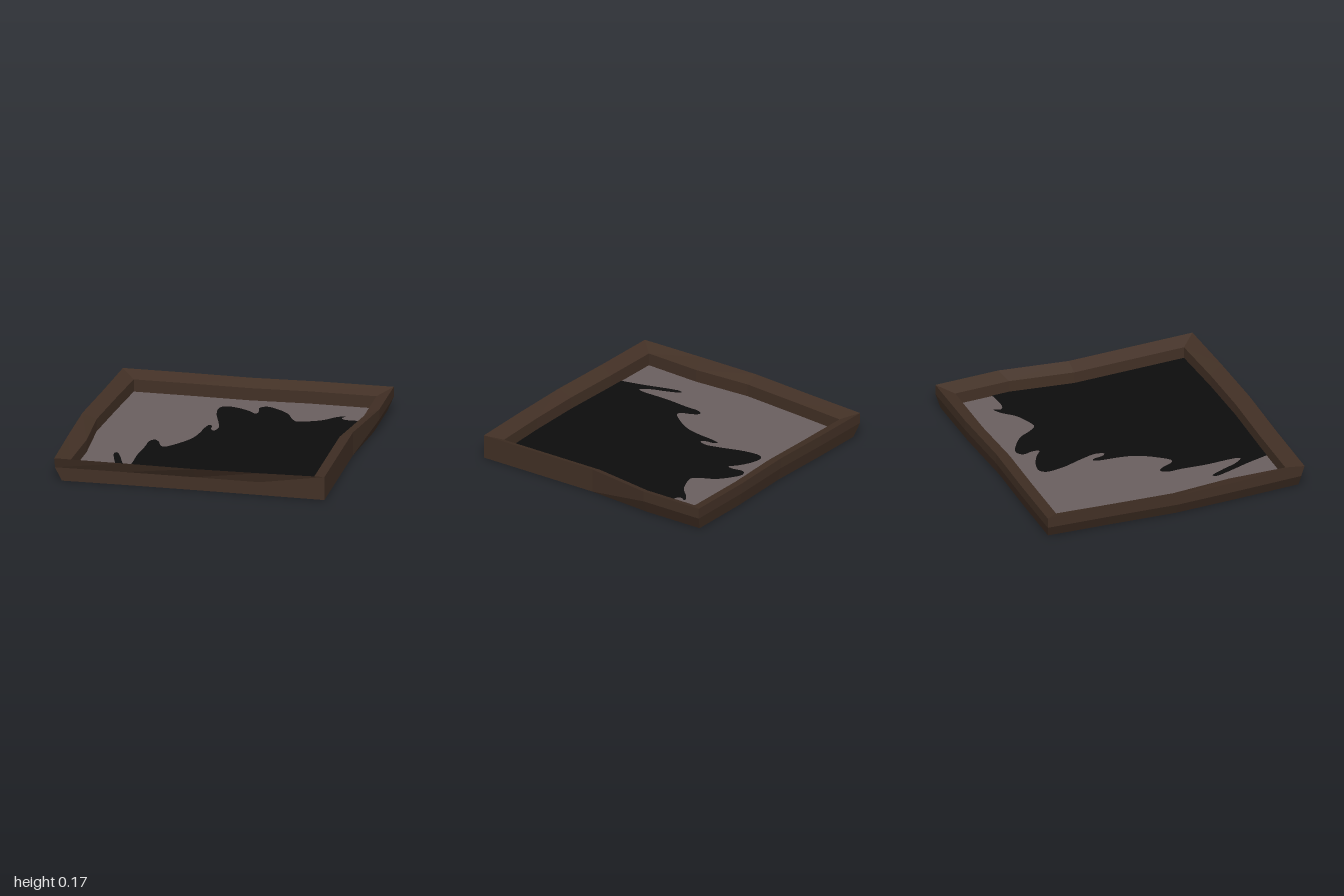
import * as THREE from 'three';

// Each ring: 4 points per side, running back-left, back-right, front-right, front-left.
const outerTop = [
  [-0.92, -0.955], [-0.46, -0.955], [0, -0.948], [0.49, -0.972],
  [1, -0.975], [1, -0.5], [0.92, 0], [0.92, 0.47],
  [0.92, 0.935], [0.46, 0.955], [0, 0.967], [-0.5, 0.957],
  [-0.995, 0.955], [-1, 0.47], [-1, 0], [-0.955, -0.5],
];
const innerTop = [
  [-0.82, -0.85], [-0.4, -0.85], [0, -0.845], [0.42, -0.868],
  [0.9, -0.868], [0.9, -0.46], [0.825, 0], [0.825, 0.43],
  [0.825, 0.83], [0.41, 0.853], [0, 0.862], [-0.45, 0.852],
  [-0.9, 0.85], [-0.878, 0.43], [-0.9, 0], [-0.86, -0.45],
];
// The front tucks in below the lip
const frontMid = { 9: 0.93, 10: 0.925, 11: 0.925, 12: 0.93 };
const middle = outerTop.map(([x, z], i) => [x, frontMid[i] ?? z]);
// The base tapers in on the left, the back and the right rear
const base = middle.map(([x, z], i) => [
  x < -0.9 ? x + 0.048 : x > 0.95 ? x - 0.04 : x,
  z < -0.9 ? z + 0.022 : z,
]);

// Faceted wall joining one ring to the next
function band(a, ya, b, yb) {
  const pos = [];
  for (let i = 0; i < a.length; i++) {
    const j = (i + 1) % a.length;
    const a0 = [a[i][0], ya, a[i][1]], a1 = [a[j][0], ya, a[j][1]];
    const b0 = [b[i][0], yb, b[i][1]], b1 = [b[j][0], yb, b[j][1]];
    pos.push(...a0, ...b0, ...a1, ...a1, ...b0, ...b1);
  }
  const g = new THREE.BufferGeometry();
  g.setAttribute('position', new THREE.Float32BufferAttribute(pos, 3));
  g.computeVertexNormals();
  return g;
}

// Flat sheet filling an outline, facing up or down
function sheet(points, y, up = true) {
  const s = up ? -1 : 1;
  const shape = new THREE.Shape(points.map(([x, z]) => new THREE.Vector2(x, s * z)));
  return new THREE.ShapeGeometry(shape).rotateX(s * Math.PI / 2).translate(0, y, 0);
}

// Curling edge of the dark patch, from the right wall to the front wall
const coast = [
  [0.9, -0.59], [0.81, -0.58], [0.73, -0.585], [0.71, -0.61], [0.73, -0.655], [0.67, -0.625],
  [0.59, -0.545], [0.5, -0.5], [0.415, -0.48], [0.37, -0.535], [0.325, -0.62],
  [0.245, -0.69], [0.155, -0.733], [0.107, -0.7], [0.118, -0.62], [0.107, -0.575],
  [0.05, -0.62], [-0.05, -0.67], [-0.13, -0.68], [-0.165, -0.645], [-0.16, -0.52],
  [-0.107, -0.34], [-0.085, -0.235], [-0.105, -0.176], [-0.13, -0.2], [-0.14, -0.27],
  [-0.16, -0.285], [-0.177, -0.235], [-0.193, -0.1], [-0.22, 0.01], [-0.29, 0.13],
  [-0.375, 0.22], [-0.405, 0.195], [-0.43, 0.13], [-0.465, 0.09], [-0.497, 0.125],
  [-0.503, 0.235], [-0.52, 0.41], [-0.525, 0.64], [-0.54, 0.667], [-0.583, 0.61],
  [-0.625, 0.49], [-0.668, 0.4], [-0.684, 0.42], [-0.663, 0.525], [-0.615, 0.685],
  [-0.575, 0.851],
];

export function createModel() {
  const group = new THREE.Group();
  const wood = new THREE.MeshStandardMaterial({ color: 0x423025 });
  const greyFloor = new THREE.MeshStandardMaterial({ color: 0x6a5f5f });
  const black = new THREE.MeshStandardMaterial({ color: 0x0d0d0d });
  wood.name = 'dark wood';
  greyFloor.name = 'warm grey';
  black.name = 'black';

  const add = (name, geometry, material) => {
    const mesh = new THREE.Mesh(geometry, material);
    mesh.name = name;
    group.add(mesh);
  };

  // Frame: sides, sloping rim, inner wall and underside
  add('lowerSides', band(base, 0, middle, 0.095), wood);
  add('upperSides', band(middle, 0.095, outerTop, 0.17), wood);
  add('rim', band(outerTop, 0.17, innerTop, 0.13), wood);
  add('innerWall', band(innerTop, 0.13, innerTop, 0.04), wood);
  add('underside', sheet(base, 0, false), wood);

  // Floor and the dark patch lying on it
  add('floor', sheet(innerTop, 0.04), greyFloor);
  const curve = new THREE.CatmullRomCurve3(
    coast.map(([x, z]) => new THREE.Vector3(x, 0, z)), false, 'centripetal');
  const edge = curve.getPoints(coast.length * 4).map((p) => [p.x, p.z]);
  const walls = innerTop.slice(5, 12).reverse();
  add('darkPatch', sheet([...edge, ...walls], 0.044), black);

  return group;
}
